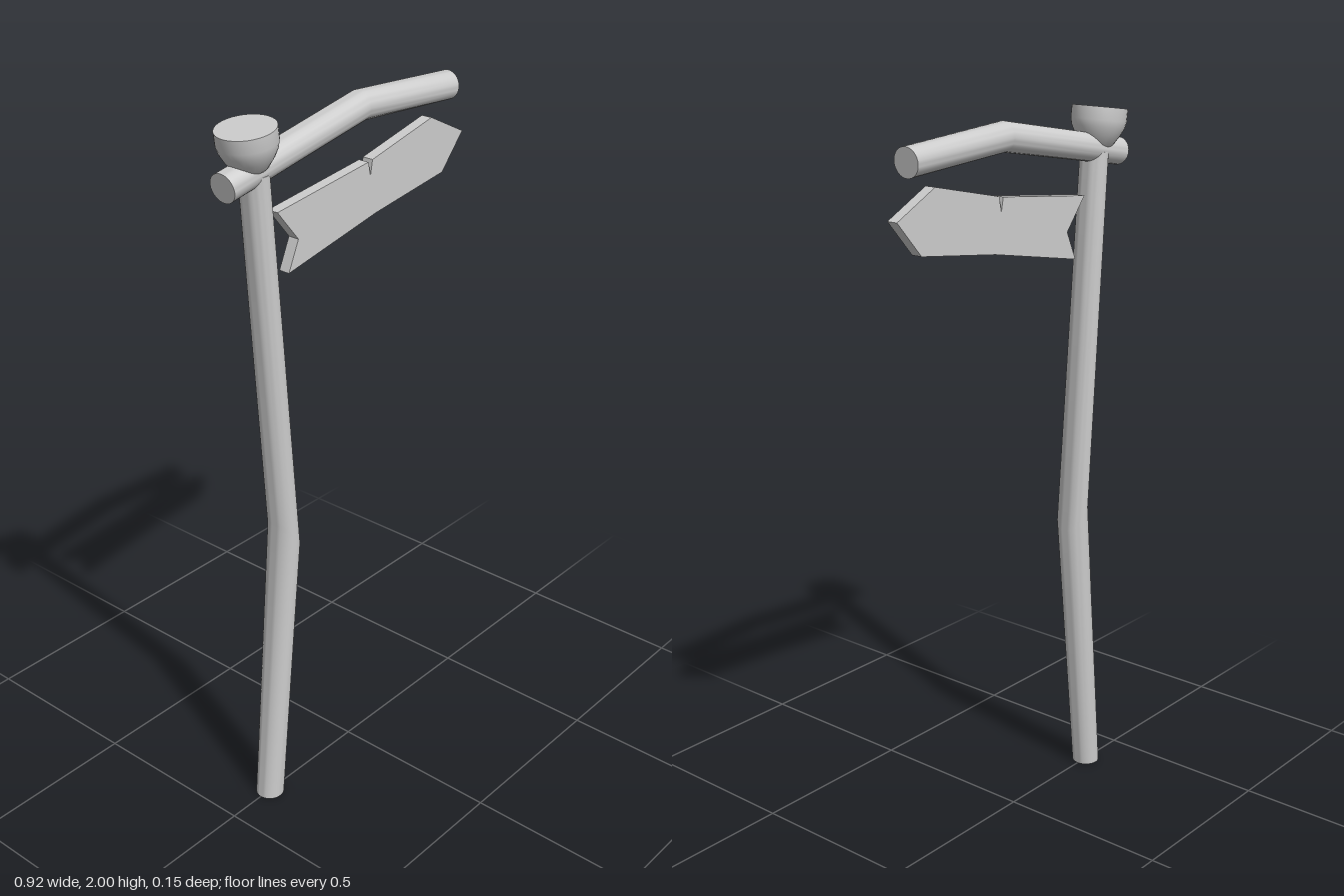
import * as THREE from 'three';
import { toCreasedNormals } from 'three/addons/utils/BufferGeometryUtils.js';

const material = new THREE.MeshStandardMaterial({ color: 0xcccccc });

function addPart(group, name, geometry) {
  const mesh = new THREE.Mesh(geometry, material);
  mesh.name = name;
  group.add(mesh);
  return mesh;
}

// Capped pole through rings; each ring has a centre, a half-width vector
// in the xy plane and a radius along z
function bentPole(rings) {
  const last = rings.length - 1;
  const geo = new THREE.CylinderGeometry(1, 1, last, 32, last);
  const pos = geo.attributes.position;
  for (let i = 0; i < pos.count; i++) {
    const { centre, half, depth } = rings[Math.round(pos.getY(i) + last / 2)];
    const a = pos.getX(i);
    pos.setXYZ(i, centre[0] + half[0] * a, centre[1] + half[1] * a, pos.getZ(i) * depth);
  }
  return toCreasedNormals(geo, 0.6);
}

export function createModel() {
  const group = new THREE.Group();
  group.name = 'signpost';

  // Crooked upright post
  addPart(group, 'post', bentPole([
    { centre: [-0.35, 0], half: [0.04, 0], depth: 0.04 },
    { centre: [-0.268, 0.835], half: [0.037, -0.045], depth: 0.048 },
    { centre: [-0.346, 1.87], half: [0.037, 0], depth: 0.041 },
  ]));

  // Bent crossbar over the sign
  addPart(group, 'crossbar', bentPole([
    { centre: [-0.452, 1.86], half: [0.006, -0.038], depth: 0.04 },
    { centre: [0.043, 1.946], half: [0.002, -0.04], depth: 0.04 },
    { centre: [0.405, 1.919], half: [-0.003, -0.039], depth: 0.04 },
  ]));

  // Tilted bowl-shaped cap on the post
  const profile = [
    [0, -0.125], [0.022, -0.12], [0.045, -0.1], [0.062, -0.075],
    [0.073, -0.053], [0.077, -0.035], [0.077, 0], [0, 0],
  ].map(([r, y]) => new THREE.Vector2(r, y));
  const cap = addPart(group, 'cap', toCreasedNormals(new THREE.LatheGeometry(profile, 32), 0.7));
  cap.position.set(-0.369, 1.987, 0);
  cap.rotation.z = 0.14;

  // Arrow board with swallowtail end and a crack in the top edge
  const outline = [
    [-0.283, 1.757], [-0.209, 1.667], [-0.246, 1.587], [0.093, 1.651], [0.373, 1.688],
    [0.458, 1.783], [0.32, 1.852], [0.077, 1.799], [0.069, 1.757], [0.061, 1.796],
  ].map(([x, y]) => new THREE.Vector2(x, y));
  const board = new THREE.ExtrudeGeometry(new THREE.Shape(outline), { depth: 0.032, bevelEnabled: false });
  board.translate(0, 0, -0.016);
  addPart(group, 'arrowBoard', board);

  return group;
}
